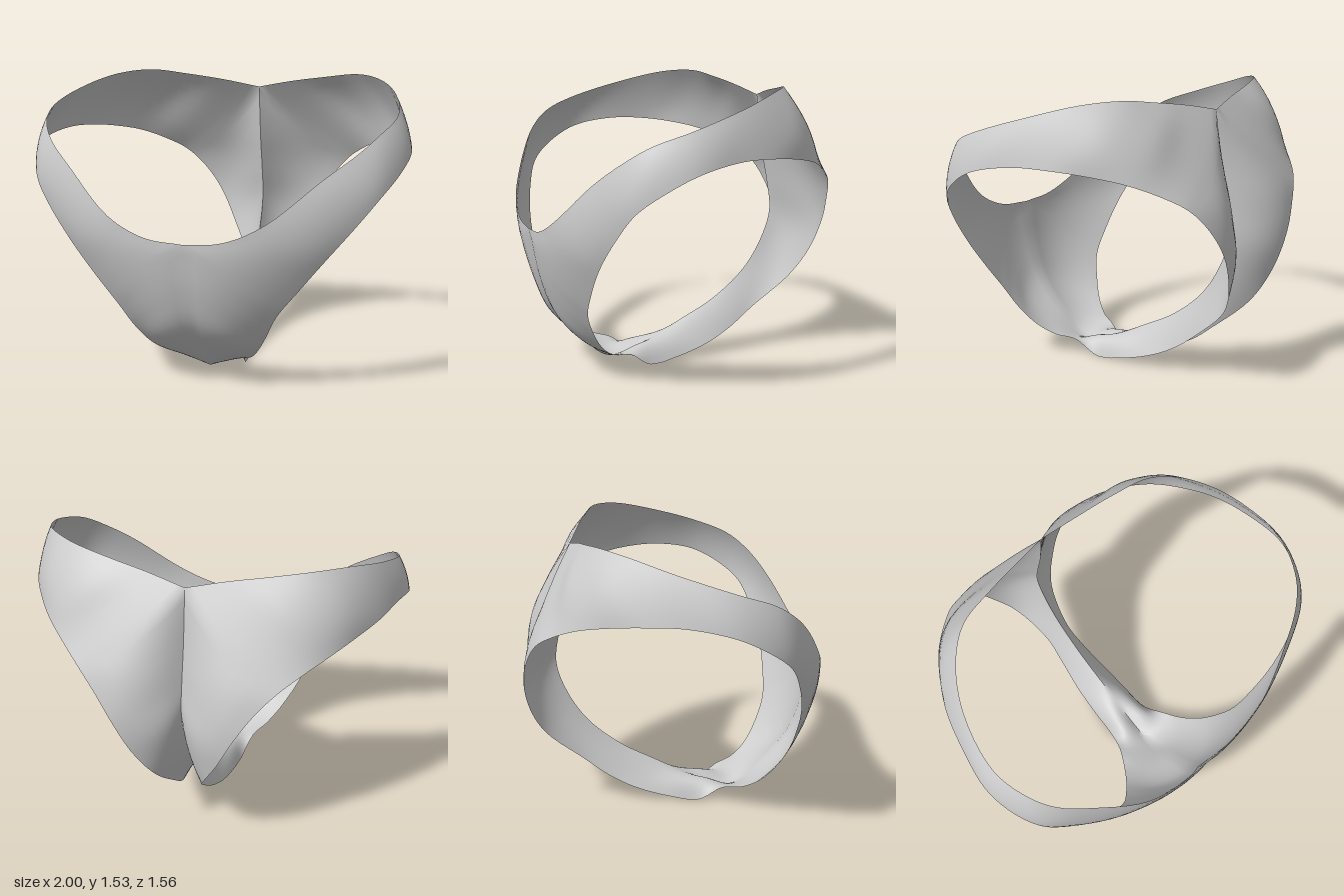
import * as THREE from 'three';
import { mergeGeometries, mergeVertices, toCreasedNormals } from 'three/addons/utils/BufferGeometryUtils.js';

// Each row runs across the cloth: inner edge (waist or centre line), middle, leg edge.
const frontCorner = [[0, .78, .78], [.25, .6, .74], [.42, .4, .59]];
const backCorner = [[0, 1.43, -.52], [.25, 1.17, -.66], [.5, 1.02, -.7]];

// Waist part: centre back, round the hip, to centre front
const waist = [
  backCorner,
  [[.2, 1.47, -.48], [.41, 1.27, -.585], [.6, 1.09, -.62]],
  [[.4, 1.5, -.44], [.57, 1.33, -.53], [.72, 1.155, -.5]],
  [[.6, 1.525, -.38], [.73, 1.36, -.41], [.81, 1.19, -.37]],
  [[.75, 1.51, -.25], [.83, 1.36, -.26], [.9, 1.215, -.2]],
  [[.87, 1.455, -.05], [.92, 1.34, -.04], [.96, 1.22, 0]],
  [[.93, 1.37, .23], [.975, 1.28, .22], [1, 1.18, .22]],
  [[.88, 1.3, .42], [.93, 1.2, .42], [.97, 1.1, .38]],
  [[.8, 1.22, .53], [.86, 1.1, .53], [.9, 1, .5]],
  [[.65, 1.1, .63], [.72, .97, .62], [.8, .87, .56]],
  [[.4, .89, .745], [.55, .79, .69], [.66, .7, .6]],
  [[.2, .8, .775], [.38, .69, .73], [.53, .54, .605]],
  frontCorner,
];
// Centre part: front waist, under the gusset, up the back fold to the waist
const centre = [
  frontCorner,
  [[0, .53, .73], [.2, .42, .69], [.35, .27, .535]],
  [[0, .35, .66], [.17, .27, .62], [.285, .17, .465]],
  [[0, .17, .51], [.14, .14, .48], [.225, .11, .38]],
  [[0, .04, .36], [.1, .07, .33], [.17, .085, .28]],
  [[0, .06, .21], [.08, .095, .19], [.13, 0, .15]],
  [[0, .12, .08], [.07, .11, .05], [.12, .02, 0]],
  [[0, .2, -.08], [.06, .14, -.1], [.105, .07, -.18]],
  [[0, .3, -.27], [.05, .22, -.29], [.085, .14, -.33]],
  [[0, .45, -.45], [.04, .36, -.48], [.075, .25, -.48]],
  [[0, .62, -.56], [.05, .52, -.62], [.13, .42, -.67]],
  [[0, .78, -.61], [.09, .69, -.71], [.22, .59, -.75]],
  [[0, .95, -.59], [.15, .86, -.73], [.31, .77, -.775]],
  [[0, 1.13, -.555], [.19, 1.03, -.71], [.4, .91, -.75]],
  backCorner,
];

const curve = (rows, column, closed) =>
  new THREE.CatmullRomCurve3(rows.map((r) => new THREE.Vector3(...r[column])), closed, 'centripetal');

// One half, swept in a closed ring round the leg opening; side = -1 mirrors it
function legRing(side) {
  const rows = [...waist, ...centre.slice(1, -1)];
  const middle = curve(rows, 1, true), legEdge = curve(rows, 2, true);
  // the inner edge keeps sharp corners where waist and centre line meet
  const waistLine = curve(waist, 0, false), centreLine = curve(centre, 0, false);
  const waistSpans = waist.length - 1, centreSpans = centre.length - 1;
  const steps = 5, around = rows.length * steps, across = 8;
  const pos = [], index = [];
  for (let i = 0; i <= around; i++) {
    const u = i / steps, t = i / around;
    const a = u <= waistSpans
      ? waistLine.getPoint(u / waistSpans)
      : centreLine.getPoint((u - waistSpans) / centreSpans);
    const l = legEdge.getPoint(t);
    // control point that makes the arc pass through the middle point
    const ctrl = middle.getPoint(t).multiplyScalar(2).addScaledVector(a, -.5).addScaledVector(l, -.5);
    const arc = new THREE.QuadraticBezierCurve3(a, ctrl, l);
    for (let j = 0; j <= across; j++) {
      const p = arc.getPoint(j / across);
      pos.push(side * Math.max(0, p.x), Math.max(0, p.y), p.z);
    }
  }
  for (let i = 0; i < around; i++) {
    for (let j = 0; j < across; j++) {
      const a = i * (across + 1) + j, b = a + 1, c = a + across + 1, d = c + 1;
      if (side > 0) index.push(a, b, c, b, d, c);
      else index.push(a, c, b, b, c, d);
    }
  }
  const g = new THREE.BufferGeometry();
  g.setAttribute('position', new THREE.Float32BufferAttribute(pos, 3));
  g.setIndex(index);
  return g;
}

export function createModel() {
  const group = new THREE.Group();
  group.name = 'briefs';
  const material = new THREE.MeshStandardMaterial({ color: 0xcccccc, side: THREE.DoubleSide });
  // both halves joined, smooth except at the back fold
  const joined = mergeVertices(mergeGeometries([legRing(1), legRing(-1)]), 1e-4);
  const cloth = new THREE.Mesh(toCreasedNormals(joined, 1), material);
  cloth.name = 'cloth';
  group.add(cloth);
  return group;
}
